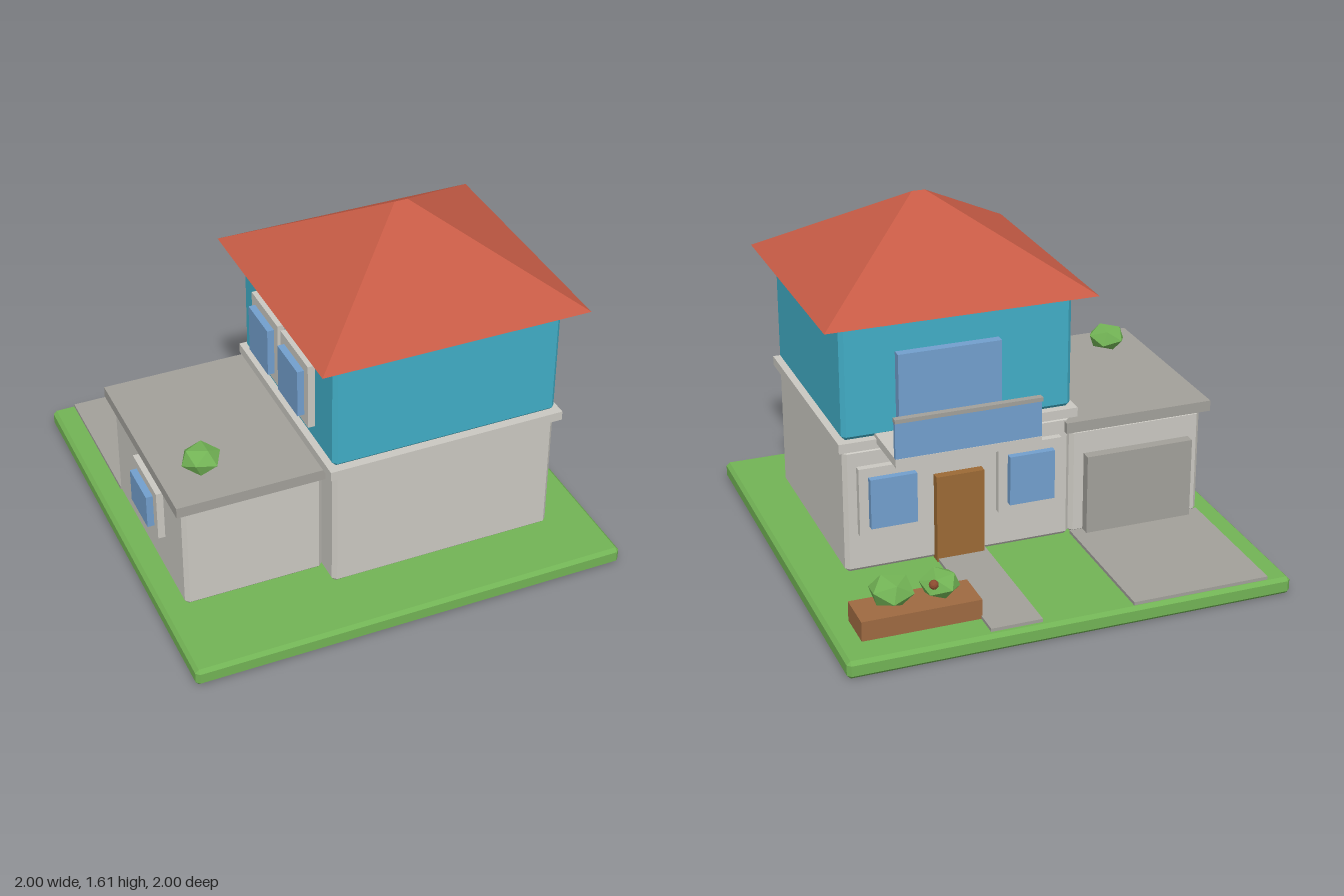
import * as THREE from 'three';
import { ConvexGeometry } from 'three/addons/geometries/ConvexGeometry.js';

const mat = (name, color, flatShading = false) => {
  const m = new THREE.MeshStandardMaterial({ color, flatShading });
  m.name = name;
  return m;
};

// Box with 45-degree chamfered edges, from min/max corners
function chamferBox(a, b, c) {
  const pts = [];
  const mid = a.map((v, i) => (v + b[i]) / 2);
  const half = a.map((v, i) => (b[i] - v) / 2);
  for (const sx of [-1, 1]) for (const sy of [-1, 1]) for (const sz of [-1, 1]) {
    const s = [sx, sy, sz];
    for (let k = 0; k < 3; k++) {
      const p = s.map((d, i) => mid[i] + d * (half[i] - (i === k ? 0 : c)));
      pts.push(new THREE.Vector3(...p));
    }
  }
  return new ConvexGeometry(pts);
}

export function createModel() {
  const model = new THREE.Group();
  model.name = 'house';

  const grass = mat('grass green', 0x72b355, true);
  const wall = mat('pale wall', 0xcac8c1);
  const teal = mat('teal wall', 0x41adc6);
  const red = mat('roof red', 0xc65b45);
  const grey = mat('concrete grey', 0xa2a09a);
  const glass = mat('glass blue', 0x729fcd);
  const wood = mat('door brown', 0x9c6a35);
  const soil = mat('planter brown', 0x9e6a41);
  const bud = mat('bud brown', 0x8b4a2f, true);

  const add = (name, geometry, material, parent = model) => {
    const mesh = new THREE.Mesh(geometry, material);
    mesh.name = name;
    parent.add(mesh);
    return mesh;
  };

  // Plain box from min/max corners
  const box = (name, material, a, b, parent) => {
    const g = new THREE.BoxGeometry(b[0] - a[0], b[1] - a[1], b[2] - a[2]);
    g.translate((a[0] + b[0]) / 2, (a[1] + b[1]) / 2, (a[2] + b[2]) / 2);
    return add(name, g, material, parent);
  };

  // Ground and paving
  add('lawn', chamferBox([-1, 0, -1], [1, 0.08, 1], 0.016), grass);
  box('driveway', grey, [-0.895, 0.07, -0.98], [-0.265, 0.095, -0.28]);
  box('gardenPath', grey, [0.145, 0.07, -0.97], [0.375, 0.095, -0.28]);

  // Main house
  add('lowerWalls', chamferBox([-0.26, 0.08, -0.285], [0.785, 0.665, 0.71], 0.018), wall);
  box('floorBand', wall, [-0.283, 0.665, -0.307], [0.808, 0.708, 0.734]);
  add('upperWalls', chamferBox([-0.26, 0.708, -0.285], [0.785, 1.243, 0.71], 0.018), teal);

  // Hipped roof with a short ridge
  const roof = [];
  for (const x of [-0.347, 0.872]) for (const z of [-0.372, 0.794]) roof.push(new THREE.Vector3(x, 1.243, z));
  for (const x of [0.233, 0.292]) roof.push(new THREE.Vector3(x, 1.609, 0.211));
  add('hipRoof', new ConvexGeometry(roof), red);

  // Garage
  add('garageWalls', chamferBox([-0.895, 0.08, -0.285], [-0.26, 0.592, 0.597], 0.018), wall);
  box('garageRoof', grey, [-0.928, 0.592, -0.314], [-0.23, 0.642, 0.625]);
  box('garageDoor', grey, [-0.835, 0.09, -0.332], [-0.325, 0.47, -0.27]);

  // Front door and balcony
  box('entranceDoor', wood, [0.16, 0.08, -0.325], [0.38, 0.49, -0.27]);
  box('balconyDoor', glass, [0.08, 0.71, -0.327], [0.545, 1.087, -0.27]);
  box('balconyFloor', wall, [-0.01, 0.687, -0.562], [0.64, 0.725, -0.27]);
  box('balconyPanel', glass, [-0.01, 0.725, -0.56], [0.64, 0.89, -0.54]);
  box('balconyRail', grey, [-0.012, 0.888, -0.567], [0.642, 0.906, -0.537]);

  // Window facing -z, with its back at the local origin
  const addWindow = (name, x, y, z, turn, frameW, frameH, glassW, glassH) => {
    const g = new THREE.Group();
    g.name = name;
    box('windowFrame', wall, [-frameW / 2, -frameH / 2, -0.032], [frameW / 2, frameH / 2, 0.01], g);
    box('windowPane', glass, [-glassW / 2, -glassH / 2, -0.063], [glassW / 2, glassH / 2, -0.02], g);
    g.position.set(x, y, z);
    g.rotation.y = turn;
    model.add(g);
  };
  for (const side of [-1, 1]) {
    addWindow('lowerWindow', 0.262 + side * 0.318, 0.424, -0.285, 0, 0.295, 0.318, 0.21, 0.232);
    addWindow('upperWindow', -0.26, 0.948, 0.2 + side * 0.165, Math.PI / 2, 0.295, 0.31, 0.215, 0.225);
  }
  addWindow('garageWindow', -0.895, 0.4, 0.205, Math.PI / 2, 0.3, 0.24, 0.21, 0.16);

  // Planter with shrubs
  box('planter', soil, [0.37, 0.07, -0.855], [0.895, 0.17, -0.67]);

  // Icosahedron stood on a vertex, slightly flattened
  const tilt = Math.atan(2 / (1 + Math.sqrt(5)));
  const shrub = (name, x, y, z, r, h, turn) => {
    const g = new THREE.IcosahedronGeometry(1, 0);
    g.rotateX(-tilt).rotateY(turn).scale(r, h, r);
    add(name, g, grass).position.set(x, y, z);
  };
  shrub('planterShrub', 0.525, 0.233, -0.762, 0.091, 0.064, 0.3);
  shrub('planterShrub', 0.735, 0.24, -0.762, 0.102, 0.071, 0.9);
  shrub('roofShrub', -0.74, 0.703, 0.417, 0.091, 0.063, 0.5);
  add('flowerBud', new THREE.IcosahedronGeometry(0.021, 1), bud).position.set(0.575, 0.27, -0.834);

  return model;
}
